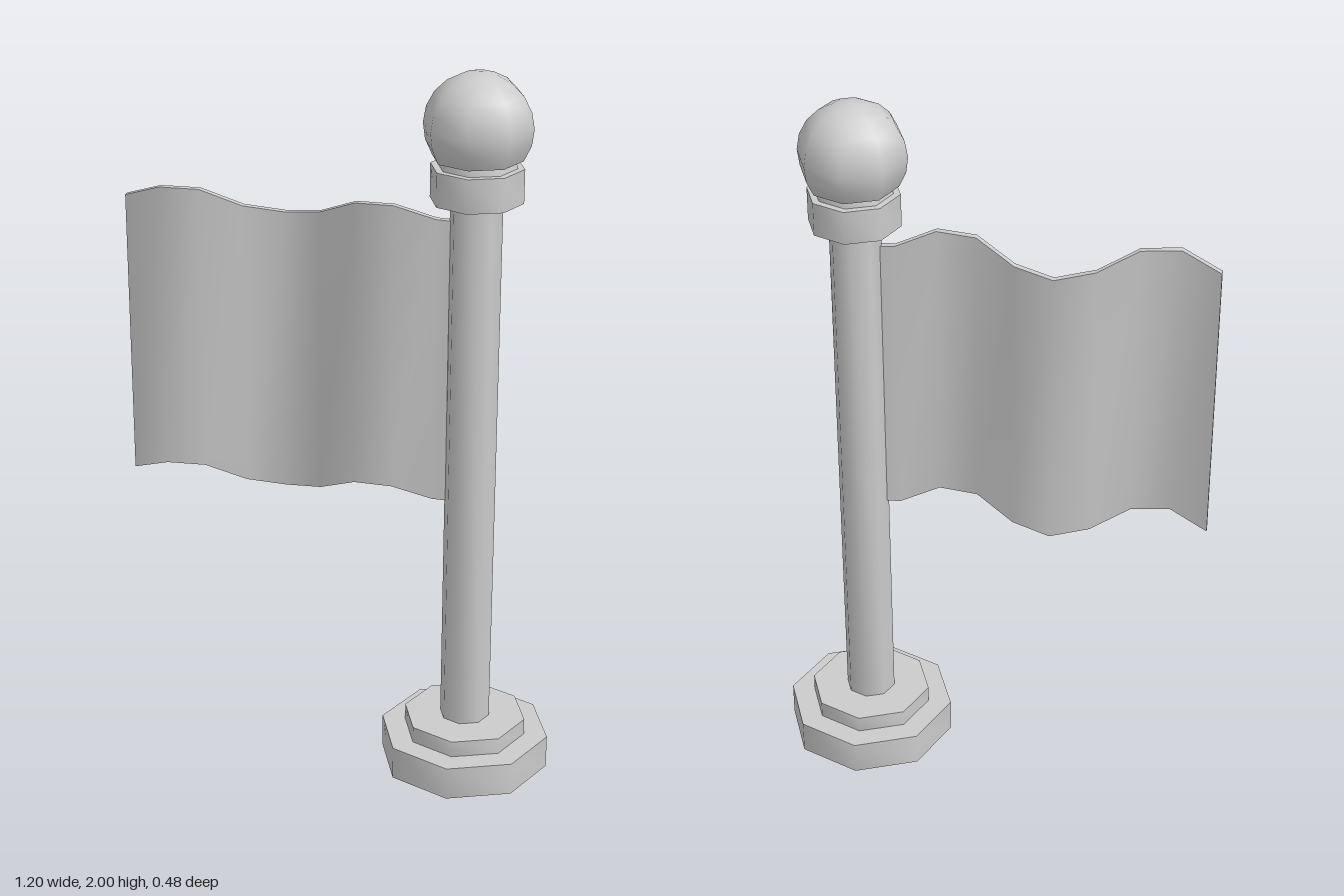
import * as THREE from 'three';
import { toCreasedNormals } from 'three/addons/utils/BufferGeometryUtils.js';

const POLE_X = 0.357;
const material = new THREE.MeshStandardMaterial({ color: 0xcccccc, side: THREE.DoubleSide });

// Eight-sided turned part: smooth around, sharp between steps
function turned(name, profile, crease = 0.95) {
  const points = profile.map(([r, y]) => new THREE.Vector2(r, y));
  const geometry = toCreasedNormals(new THREE.LatheGeometry(points, 8), crease);
  const mesh = new THREE.Mesh(geometry, material);
  mesh.name = name;
  mesh.position.x = POLE_X;
  return mesh;
}

// Wavy cloth of constant height and thickness; each station is [x, top y, z]
function createFlag() {
  const stations = [
    [-0.6, 1.6, -0.003], [-0.493, 1.64, 0.031], [-0.387, 1.637, 0.016],
    [-0.28, 1.587, -0.026], [-0.173, 1.57, -0.054], [-0.067, 1.587, -0.027],
    [0.04, 1.636, 0.021], [0.147, 1.64, 0.031], [0.253, 1.602, 0.002], [0.31, 1.6, 0],
  ];
  const height = 0.8, half = 0.009;
  const positions = [], index = [];
  for (const [x, y, z] of stations) {
    positions.push(x, y, z + half, x, y, z - half, x, y - height, z - half, x, y - height, z + half);
  }
  for (let i = 0; i < stations.length - 1; i++) {
    for (let j = 0; j < 4; j++) {
      const a = i * 4 + j, b = i * 4 + (j + 1) % 4;
      index.push(a, b + 4, b, a, a + 4, b + 4);
    }
  }
  const e = (stations.length - 1) * 4;
  index.push(0, 1, 2, 0, 2, 3, e, e + 2, e + 1, e, e + 3, e + 2);
  const geometry = new THREE.BufferGeometry();
  geometry.setAttribute('position', new THREE.Float32BufferAttribute(positions, 3));
  geometry.setIndex(index);
  const mesh = new THREE.Mesh(toCreasedNormals(geometry, 0.95), material);
  mesh.name = 'flag';
  return mesh;
}

export function createModel() {
  const group = new THREE.Group();
  group.name = 'flagpole';

  // Stepped base, hollow underneath
  group.add(turned('base', [[0.238, 0], [0.238, 0.095], [0.172, 0.095], [0.172, 0.142], [0.07, 0.142]]));
  group.add(turned('pole', [[0.07, 0.142], [0.07, 1.66]]));
  group.add(turned('collar', [[0.07, 1.66], [0.124, 1.66], [0.124, 1.752], [0.105, 1.752]]));

  // Ball on a short flared neck
  const ball = [[0.105, 1.752], [0.1, 1.775]];
  const start = -0.6, steps = 7;
  for (let i = 0; i <= steps; i++) {
    const a = start + (Math.PI / 2 - start) * i / steps;
    ball.push([i === steps ? 0 : 0.145 * Math.cos(a), 1.855 + 0.145 * Math.sin(a)]);
  }
  group.add(turned('finial', ball, 1.2));

  group.add(createFlag());
  return group;
}
